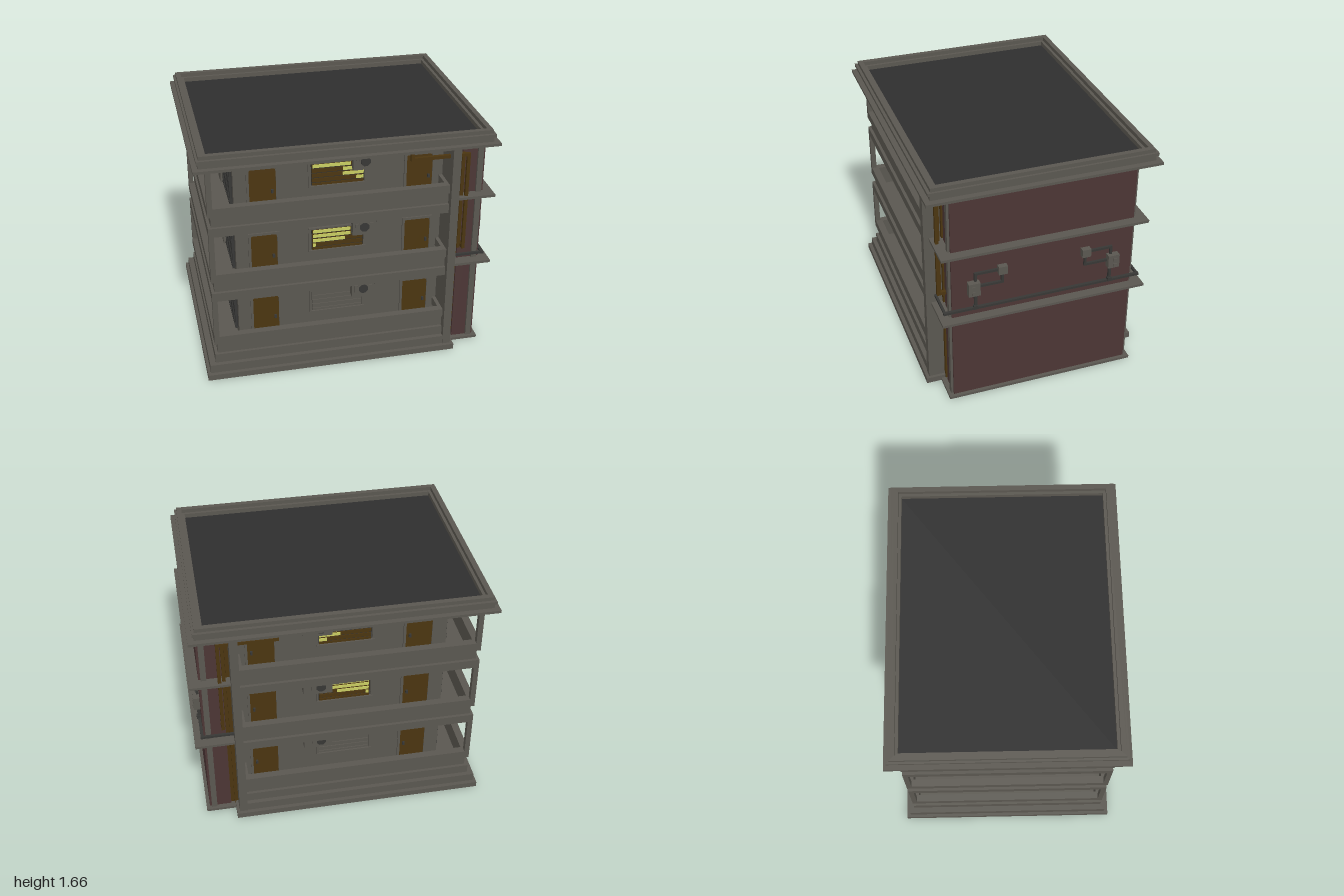
import * as THREE from 'three';

export function createModel() {
  const model = new THREE.Group();
  const mat = (name, color, side = THREE.FrontSide) => {
    const m = new THREE.MeshStandardMaterial({ color, side });
    m.name = name;
    return m;
  };
  const concrete = mat('concrete', 0x5a5750);
  const brick = mat('brick', 0x4c3635);
  const wood = mat('wood', 0x4b3510);
  const glow = mat('glow', 0xc9cd62);
  const tar = mat('tar', 0x2e2e2e);
  const iron = mat('iron', 0x373735);

  const add = (name, geo, m) => {
    const mesh = new THREE.Mesh(geo, m);
    mesh.name = name;
    model.add(mesh);
    return mesh;
  };
  // Box given by its limits
  const box = (name, m, x0, x1, y0, y1, z0, z1) => {
    const mesh = add(name, new THREE.BoxGeometry(x1 - x0, y1 - y0, Math.abs(z1 - z0)), m);
    mesh.position.set((x0 + x1) / 2, (y0 + y1) / 2, (z0 + z1) / 2);
    return mesh;
  };
  const both = (name, m, x0, x1, y0, y1, z0, z1) => {
    for (const s of [1, -1]) box(name, m, x0, x1, y0, y1, s * z0, s * z1);
  };
  // Rectangular wall ring with an open middle
  const ring = (name, m, x0, x1, z, y0, y1, t) => {
    const rect = (C, a, b, d) => {
      const p = new C();
      p.moveTo(a, -d); p.lineTo(b, -d); p.lineTo(b, d); p.lineTo(a, d); p.closePath();
      return p;
    };
    const shape = rect(THREE.Shape, x0, x1, z);
    shape.holes.push(rect(THREE.Path, x0 + t, x1 - t, z - t));
    const geo = new THREE.ExtrudeGeometry(shape, { depth: y1 - y0, bevelEnabled: false });
    geo.rotateX(-Math.PI / 2);
    add(name, geo, m).position.y = y0;
  };
  // Square pipe running through a list of points, along the axes
  const pipe = (name, m, r, pts) => {
    for (let i = 1; i < pts.length; i++) {
      const [a, b] = [pts[i - 1], pts[i]];
      const lo = a.map((v, k) => Math.min(v, b[k]) - r), hi = a.map((v, k) => Math.max(v, b[k]) + r);
      box(name, m, lo[0], hi[0], lo[1], hi[1], lo[2], hi[2]);
    }
  };

  // Stepped base
  box('baseStep', concrete, -0.98, 0.75, 0, 0.04, -0.757, 0.757);
  box('baseStep', concrete, -0.96, 0.73, 0.04, 0.10, -0.73, 0.73);
  box('basePlinth', concrete, -0.92, 0.7, 0.10, 0.165, -0.70, 0.70);

  // Core and end wall
  box('coreWall', concrete, -0.73, 0.73, 0.1, 1.56, -0.53, 0.53);
  box('endWall', concrete, 0.675, 0.73, 0, 1.56, -0.735, 0.735);

  const doorShape = (w, h, r) => {
    const s = new THREE.Shape();
    s.moveTo(-w, 0); s.lineTo(w, 0); s.lineTo(w, h - r);
    s.quadraticCurveTo(w, h, w - r, h);
    s.lineTo(r - w, h);
    s.quadraticCurveTo(-w, h, -w, h - r);
    s.closePath();
    return s;
  };
  const doorGeo = new THREE.ExtrudeGeometry(doorShape(0.088, 0.305, 0.025), { depth: 0.008, bevelEnabled: false });

  const pitch = 0.483;
  // Lit slats: [left, right] for each row of the window, top row first
  const lit = [
    [],
    [[-0.21, 0.045], [-0.21, 0.045], [-0.21, 0.01], [-0.21, -0.19]],
    [[-0.21, 0.045], [-0.01, 0.13], [-0.01, 0.13], [0.08, 0.13]],
  ];
  for (let f = 0; f < 3; f++) {
    const y = f * pitch;

    // Walkway slab, parapet and corner posts
    if (f > 0) box('walkwaySlab', concrete, -0.92, 0.7, y + 0.102, y + 0.165, -0.70, 0.70);
    ring('parapet', concrete, -0.90, 0.70, 0.68, y + 0.165, y + 0.245, 0.03);
    ring('parapetRail', concrete, -0.92, 0.70, 0.70, y + 0.245, y + 0.305, 0.05);
    both('cornerPost', concrete, -0.92, -0.885, y + 0.305, f < 2 ? y + 0.585 : 1.56, 0.665, 0.70);

    // Stepped cornice at the top of the core wall
    [0.05, 0.035, 0.015].forEach((d, i) => {
      const t = y + 0.587 - i * 0.018;
      box('cornice', concrete, -0.73 - d, 0.68, t - 0.018, t, -0.53 - d, 0.53 + d);
    });

    // Grilles and central rib on the left-out side wall
    box('sideRib', concrete, -0.755, -0.73, y + 0.165, y + 0.56, -0.055, 0.055);
    for (const s of [1, -1]) {
      const zc = s * 0.305;
      box('grilleBack', tar, -0.734, -0.73, y + 0.21, y + 0.485, zc - 0.17, zc + 0.17);
      for (let i = 0; i < 9; i++) {
        const z = zc - 0.165 + i * 0.04125;
        box('grilleBar', iron, -0.748, -0.734, y + 0.21, y + 0.485, z - 0.009, z + 0.009);
      }
      for (const h of [0.21, 0.475]) box('grilleRail', iron, -0.75, -0.732, y + h, y + h + 0.012, zc - 0.175, zc + 0.175);
    }

    for (const s of [1, -1]) {
      // Doors with frames and handles
      for (const x of [-0.54, 0.512]) {
        both('doorFrame', concrete, x - 0.105, x - 0.088, y + 0.165, y + 0.49, 0.53, 0.542);
        both('doorFrame', concrete, x + 0.088, x + 0.105, y + 0.165, y + 0.49, 0.53, 0.542);
        both('doorFrame', concrete, x - 0.105, x + 0.105, y + 0.472, y + 0.49, 0.53, 0.542);
        const d = add('door', doorGeo, wood);
        d.position.set(x, y + 0.165, s * 0.53);
        if (s < 0) d.rotation.y = Math.PI;
        box('doorHandle', iron, x + 0.055, x + 0.07, y + 0.30, y + 0.325, s * 0.536, s * 0.552);
      }
      // Lamp over the second door
      box('doorLamp', glow, 0.475, 0.55, y + 0.498, y + 0.54, s * 0.53, s * 0.538);
      box('doorLampSide', glow, 0.55, 0.565, y + 0.505, y + 0.53, s * 0.53, s * 0.536);

      // Window with slatted blind
      box('windowPanel', f ? tar : concrete, -0.22, 0.135, y + 0.315, y + 0.475, s * 0.53, s * 0.534);
      for (let i = 0; i < 5; i++) {
        const t = y + 0.472 - i * 0.034;
        box('blindSlat', f ? wood : concrete, -0.215, 0.13, t - 0.027, t, s * 0.532, s * 0.54);
        const l = lit[f][i];
        if (l) box('litSlat', glow, l[0], l[1], t - 0.025, t - 0.002, s * 0.538, s * 0.544);
      }
      for (const h of [0.308, 0.478]) {
        box('windowSill', concrete, -0.24, 0.15, y + h, y + h + 0.012, s * 0.53, s * 0.55);
      }
      for (const x of [-0.24, 0.135]) box('windowJamb', concrete, x, x + 0.015, y + 0.32, y + 0.478, s * 0.53, s * 0.545);

      // Cooling unit with fan
      box('coolingUnit', concrete, 0.05, 0.245, y + 0.425, y + 0.55, s * 0.53, s * 0.59);
      const disc = (name, m, r, z) => {
        const c = add(name, new THREE.CylinderGeometry(r, r, 0.008, 8), m);
        c.rotation.set(Math.PI / 2, Math.PI / 8, 0);
        c.position.set(0.128, y + 0.488, s * z);
      };
      box('fanHousing', concrete, 0.065, 0.19, y + 0.462, y + 0.512, s * 0.59, s * 0.597);
      disc('fanRing', concrete, 0.048, 0.598);
      disc('fan', iron, 0.034, 0.602);
      box('unitButton', concrete, 0.21, 0.23, y + 0.51, y + 0.53, s * 0.59, s * 0.596);
    }
  }

  // Brick end block with timber recess and corner strips
  box('timberRecess', wood, 0.73, 0.82, 0, 1.56, -0.605, 0.605);
  both('timberStrip', wood, 0.73, 0.755, 0, 1.56, 0.60, 0.625);
  box('brickBlock', brick, 0.78, 0.932, 0, 1.56, -0.62, 0.62);
  both('cornerStrip', concrete, 0.88, 0.918, 0, 1.56, 0.615, 0.636);
  box('brickFooting', concrete, 0.73, 0.955, 0, 0.018, -0.655, 0.655);
  for (const y of [0.64, 1.145]) {
    box('brickLedge', concrete, 0.73, 0.995, y + 0.006, y + 0.024, -0.70, 0.70);
    box('ledgeMoulding', concrete, 0.73, 0.955, y - 0.01, y + 0.006, -0.66, 0.66);
  }

  for (const s of [1, -1]) {
    // Brown drain pipe passing through the end wall
    pipe('drainPipe', wood, 0.011, [
      [0.42, 1.55, s * 0.67], [0.42, 1.47, s * 0.67], [0.80, 1.47, s * 0.67],
      [0.80, 0.78, s * 0.67], [0.80, 0.78, s * 0.61],
    ]);
    pipe('drainPipe', wood, 0.011, [[0.77, 1.47, s * 0.655], [0.77, 0.78, s * 0.655]]);
    // Wall conduits and their boxes
    pipe('sideConduit', iron, 0.008, [[0.74, 0.718, s * 0.67], [0.945, 0.718, s * 0.67]]);
    pipe('conduit', iron, 0.009, [[0.943, 0.72, s * 0.465], [0.943, 0.86, s * 0.465]]);
    box('conduitJoint', iron, 0.932, 0.96, 0.715, 0.742, s * 0.45, s * 0.48);
    pipe('conduit', iron, 0.008, [[0.943, 0.9, s * 0.465], [0.943, 0.983, s * 0.465], [0.943, 0.983, s * 0.29]]);
    pipe('conduit', iron, 0.008, [[0.943, 0.885, s * 0.46], [0.943, 0.885, s * 0.285], [0.943, 0.97, s * 0.285]]);
    box('meterBox', concrete, 0.932, 0.975, 0.832, 0.928, s * 0.44, s * 0.518);
    for (const h of [0.855, 0.895]) box('meterDial', concrete, 0.975, 0.98, h - 0.011, h + 0.011, s * 0.475, s * 0.498);
    box('junctionBox', concrete, 0.932, 0.97, 0.955, 1.013, s * 0.255, s * 0.315);
  }
  box('mainConduit', iron, 0.932, 0.952, 0.71, 0.726, -0.68, 0.68);

  // Roof slab, parapet and deck
  box('roofSlab', concrete, -1, 0.98, 1.558, 1.576, -0.776, 0.776);
  ring('roofParapet', concrete, -0.965, 0.94, 0.74, 1.576, 1.63, 0.06);
  ring('roofCoping', concrete, -0.975, 0.95, 0.755, 1.612, 1.632, 0.05);
  ring('roofCap', concrete, -0.96, 0.935, 0.735, 1.63, 1.657, 0.035);
  box('roofDeck', tar, -0.93, 0.905, 1.576, 1.60, -0.70, 0.70);
  return model;
}
